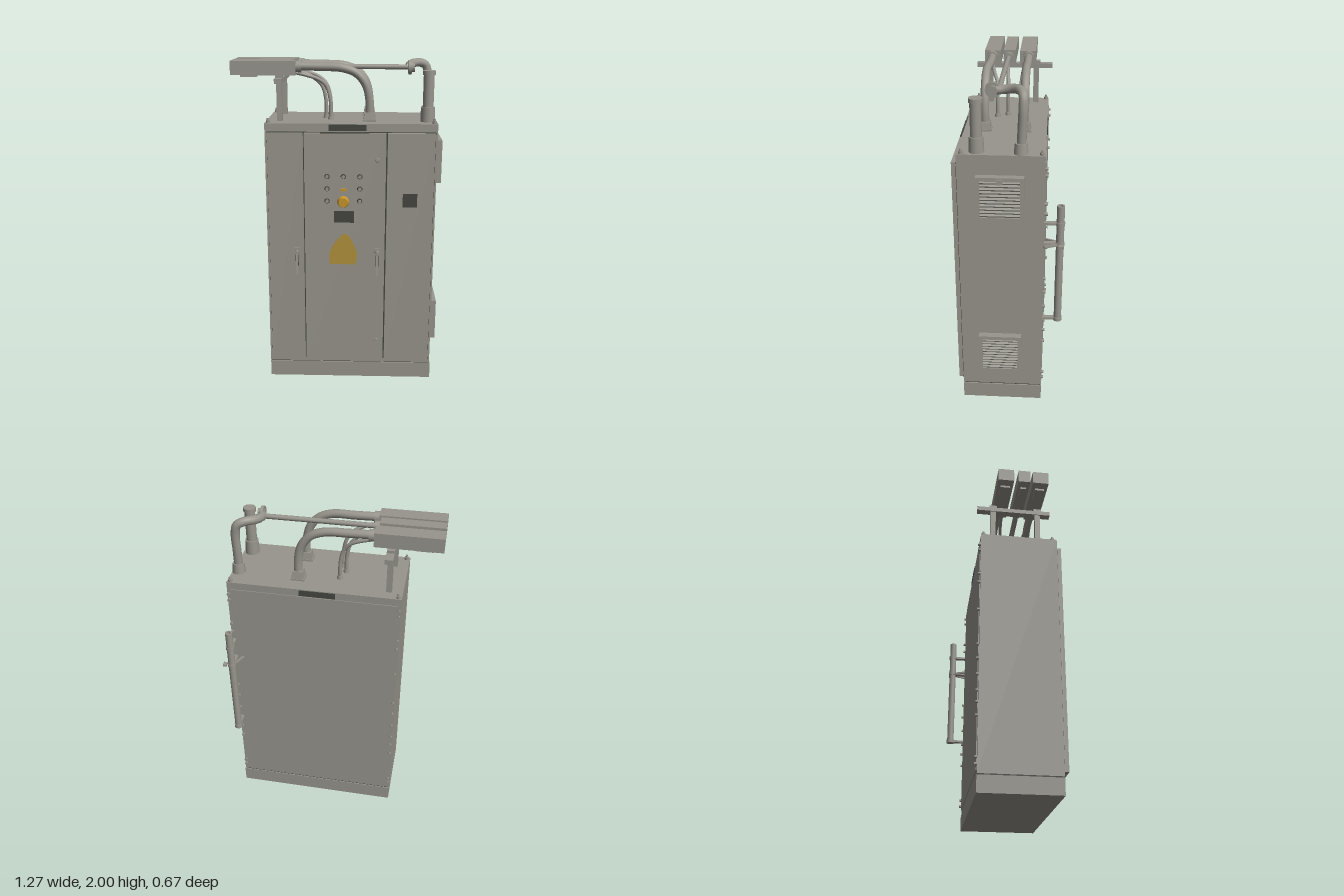
import * as THREE from 'three';

const mat = (name, color) => {
  const m = new THREE.MeshStandardMaterial({ color });
  m.name = name;
  return m;
};

export function createModel() {
  const root = new THREE.Group();
  root.name = 'controlCabinet';
  const grey = mat('cabinetGrey', 0x98958d);
  const dark = mat('labelDark', 0x454741);
  const yellow = mat('buttonYellow', 0xc6962c);
  const sign = mat('signYellow', 0xb3923c);

  const add = (name, geo, m, parent = root) => {
    const mesh = new THREE.Mesh(geo, m);
    mesh.name = name;
    parent.add(mesh);
    return mesh;
  };
  // Box given by its minimum and maximum on each axis
  const box = (name, x0, x1, y0, y1, z0, z1, m = grey, parent = root) => {
    const b = add(name, new THREE.BoxGeometry(x1 - x0, y1 - y0, z1 - z0), m, parent);
    b.position.set((x0 + x1) / 2, (y0 + y1) / 2, (z0 + z1) / 2);
    return b;
  };
  // Cylinder centred on a point, along a chosen axis
  const rod = (name, axis, x, y, z, r0, r1, len, m = grey, sides = 16, parent = root) => {
    const c = add(name, new THREE.CylinderGeometry(r1, r0, len, sides), m, parent);
    if (axis === 'x') c.rotation.z = -Math.PI / 2;
    if (axis === 'z') c.rotation.x = Math.PI / 2;
    c.position.set(x, y, z);
    return c;
  };
  const pipe = (name, pts, r) => {
    const curve = new THREE.CatmullRomCurve3(pts.map(p => new THREE.Vector3(...p)), false, 'centripetal');
    return add(name, new THREE.TubeGeometry(curve, 40, r, 12), grey);
  };

  // Plinth, seam and body
  box('plinth', -0.43, 0.595, 0, 0.1, -0.225, 0.26);
  box('plinthSeam', -0.425, 0.587, 0.1, 0.107, -0.219, 0.253, dark);
  box('body', -0.43, 0.59, 0.107, 1.645, -0.222, 0.26);
  box('backPanel', -0.41, 0.57, 0.13, 1.6, -0.227, -0.222);

  // Doors, over a thin dark sheet that shows as the gaps between them
  box('doorGap', -0.417, 0.579, 0.132, 1.597, 0.26, 0.264, dark);
  [[-0.413, -0.203], [-0.196, 0.289], [0.297, 0.575]].forEach(([a, b], i) =>
    box('door' + (i + 1), a, b, 0.136, 1.593, 0.264, 0.289));

  // Dark name plates
  box('namePlateFront', -0.05, 0.17, 1.605, 1.64, 0.26, 0.268, dark);
  box('namePlateTop', -0.1, 0.19, 1.593, 1.597, 0.262, 0.288, dark);
  box('namePlateBack', -0.05, 0.16, 1.605, 1.64, -0.227, -0.222, dark);
  box('panelLabel', -0.02, 0.103, 1.05, 1.122, 0.289, 0.292, dark);
  box('sideDoorLabel', 0.392, 0.478, 1.15, 1.232, 0.289, 0.292, dark);

  // Warning sign with rounded corners
  const tri = new THREE.Shape();
  tri.moveTo(-0.07, 0.783);
  tri.lineTo(0.1, 0.783);
  tri.quadraticCurveTo(0.126, 0.785, 0.12, 0.86);
  tri.quadraticCurveTo(0.095, 0.94, 0.065, 0.972);
  tri.quadraticCurveTo(0.042, 0.99, 0.018, 0.96);
  tri.quadraticCurveTo(-0.02, 0.92, -0.045, 0.865);
  tri.quadraticCurveTo(-0.052, 0.79, -0.04, 0.783);
  const warn = add('warningSign', new THREE.ExtrudeGeometry(tri, { depth: 0.003, bevelEnabled: false }), sign);
  warn.position.z = 0.289;

  // Push buttons in a grid, with the emergency stop below
  for (const y of [1.335, 1.26, 1.185]) {
    for (const x of [-0.06, 0.037, 0.135]) {
      if (x === 0.037 && y < 1.3) continue;
      rod('buttonCollar', 'z', x, y, 0.293, 0.016, 0.014, 0.008, dark);
      rod('button', 'z', x, y, 0.298, 0.011, 0.01, 0.012);
    }
  }
  box('indicator', 0.02, 0.055, 1.245, 1.262, 0.289, 0.297, yellow);
  rod('stopStem', 'z', 0.037, 1.185, 0.3, 0.022, 0.022, 0.022, yellow);
  rod('stopCap', 'z', 0.037, 1.185, 0.321, 0.036, 0.028, 0.024, yellow, 20);
  for (const [x, y] of [[0.238, 1.435], [0.245, 0.275]]) rod('doorLock', 'z', x, y, 0.291, 0.013, 0.01, 0.006);

  // Door handles
  for (const x of [-0.245, 0.245]) {
    const h = new THREE.Group();
    h.name = 'doorHandle';
    root.add(h);
    box('handlePlate', x - 0.015, x + 0.015, 0.765, 0.89, 0.289, 0.3, grey, h);
    box('handleInset', x - 0.009, x + 0.009, 0.775, 0.845, 0.3, 0.303, dark, h);
    rod('handlePivot', 'z', x, 0.865, 0.308, 0.011, 0.009, 0.02, grey, 12, h);
    const lever = box('handleLever', x - 0.006, x + 0.006, 0.72, 0.87, 0.309, 0.32, grey, h);
    lever.rotation.x = -0.09;
  }

  // Louvred vents on the left side
  for (const [y0, y1, z0] of [[1.268, 1.53, -0.11], [0.228, 0.488, -0.1]]) {
    const v = new THREE.Group();
    v.name = 'sideVent';
    root.add(v);
    const z1 = 0.155, e = 0.022;
    box('ventBack', 0.59, 0.61, y0 + e, y1 - e, z0 + e, z1 - e, dark, v);
    box('ventFrameBottom', 0.59, 0.63, y0, y0 + e, z0, z1, grey, v);
    box('ventFrameTop', 0.59, 0.63, y1 - e, y1, z0, z1, grey, v);
    box('ventFrameBack', 0.59, 0.63, y0 + e, y1 - e, z0, z0 + e, grey, v);
    box('ventFrameFront', 0.59, 0.63, y0 + e, y1 - e, z1 - e, z1, grey, v);
    const n = 11, step = (y1 - y0 - 2 * e) / n;
    for (let i = 0; i < n; i++) {
      const y = y0 + e + step * (i + 0.5);
      const s = box('ventSlat', 0.606, 0.626, y - 0.005, y + 0.005, z0 + e, z1 - e, grey, v);
      s.rotation.z = -0.5;
    }
  }
  box('ventLatch', 0.615, 0.634, 1.49, 1.52, 0.005, 0.04);

  // Lifting bolts on the roof corners
  for (const x of [-0.41, 0.57]) for (const z of [-0.205, 0.235]) {
    rod('roofBolt', 'y', x, 1.652, z, 0.013, 0.013, 0.014);
    rod('roofBoltHead', 'y', x, 1.665, z, 0.008, 0.007, 0.016);
  }
  // Small fixings along the rear edges
  for (const x of [-0.42, 0.58])
    for (const y of [0.16, 0.2, 0.44, 0.52, 0.59, 0.69, 0.79, 0.88, 1.11, 1.3, 1.36, 1.53, 1.57])
      rod('rearBolt', 'z', x, y, -0.229, 0.01, 0.008, 0.018, grey, 8);

  // Three overhead trunking boxes on a cross rail with two posts
  for (const [z0, z1, x1] of [[-0.14, -0.042, -0.25], [-0.014, 0.06, -0.265], [0.077, 0.175, -0.25]]) {
    box('trunking', -0.635, x1, 1.915, 1.998, z0, z1);
    box('trunkingFoot', -0.58, -0.485, 1.902, 1.915, z0 + 0.02, z1 - 0.02);
  }
  box('crossRail', -0.37, -0.325, 1.872, 1.9, -0.242, 0.232);
  for (const z of [-0.14, 0.15]) {
    box('railPost', -0.365, -0.333, 1.645, 1.872, z - 0.017, z + 0.017);
    box('railPad', -0.37, -0.328, 1.9, 1.915, z - 0.025, z + 0.025);
  }

  // Outer conduits bending down to square roof flanges
  for (const [za, zb] of [[-0.095, -0.092], [0.128, 0.138]]) {
    pipe('mainConduit', [[-0.25, 1.965, za], [-0.1, 1.962, za], [0.03, 1.955, zb], [0.11, 1.925, zb],
      [0.165, 1.86, zb], [0.188, 1.77, zb], [0.19, 1.645, zb]], 0.025);
    rod('conduitCollar', 'x', -0.235, 1.963, za, 0.034, 0.034, 0.035);
    box('conduitFlange', 0.148, 0.228, 1.645, 1.655, zb - 0.04, zb + 0.04);
    const base = rod('conduitSocket', 'y', 0.19, 1.675, zb, 0.052, 0.042, 0.045, grey, 4);
    base.geometry.rotateY(Math.PI / 4);
    base.geometry = base.geometry.toNonIndexed();
    base.geometry.computeVertexNormals();
  }

  // Thin cables from under the trunking
  for (const [za, zb, x] of [[-0.07, -0.058, -0.05], [0.03, 0.02, -0.075], [0.12, 0.082, -0.045]]) {
    pipe('thinCable', [[-0.27, 1.93, za], [-0.2, 1.915, za], [x - 0.07, 1.885, (za + zb) / 2],
      [x - 0.025, 1.84, zb], [x - 0.003, 1.76, zb], [x, 1.645, zb]], 0.011);
    rod('cableGland', 'y', x, 1.655, zb, 0.018, 0.015, 0.02, grey, 8);
  }

  // Middle conduit running across to an elbow at the far corner
  rod('middleCollar', 'x', -0.25, 1.957, 0.03, 0.03, 0.03, 0.035);
  pipe('middleConduit', [[-0.26, 1.958, 0.028], [0.1, 1.956, 0.034], [0.43, 1.955, 0.036]], 0.015);
  rod('unionDisc', 'x', 0.428, 1.955, 0.07, 0.043, 0.043, 0.018, grey, 20);
  rod('unionNut', 'x', 0.436, 1.955, 0.07, 0.028, 0.028, 0.04, grey, 8);
  pipe('cornerConduit', [[0.428, 1.955, 0.05], [0.428, 1.96, 0.0], [0.45, 1.97, -0.05],
    [0.495, 1.973, -0.085], [0.535, 1.955, -0.1], [0.55, 1.9, -0.1], [0.55, 1.78, -0.095], [0.55, 1.645, -0.09]], 0.026);
  rod('cornerSocket', 'y', 0.55, 1.675, -0.09, 0.04, 0.034, 0.06);

  // Standing roof cylinder
  rod('stackBase', 'y', 0.536, 1.688, 0.153, 0.043, 0.04, 0.086, grey, 24);
  rod('stackTube', 'y', 0.536, 1.83, 0.153, 0.032, 0.032, 0.2, grey, 24);
  rod('stackCap', 'y', 0.536, 1.932, 0.153, 0.038, 0.038, 0.024, grey, 24);

  // Open tube on brackets behind the left rear corner
  const tubeX = 0.575, tubeZ = -0.313;
  const ring = [[0.013, 0.6], [0.022, 0.6], [0.022, 1.35], [0.013, 1.35], [0.013, 0.6]];
  // separate faces per wall keep the rims crisp
  for (let i = 0; i < 4; i++) {
    const wall = add('rearTube', new THREE.LatheGeometry(ring.slice(i, i + 2).map(p => new THREE.Vector2(...p)), 18), grey);
    wall.position.set(tubeX, 0, tubeZ);
  }
  for (const y of [0.607, 1.112, 1.24]) {
    box('tubeBracket', tubeX - 0.014, tubeX + 0.014, y - 0.007, y + 0.007, -0.3, -0.222);
    rod('tubeClamp', 'y', tubeX, y, tubeZ, 0.026, 0.026, 0.022);
  }
  for (const s of [-1, 1]) {
    const arm = box('bracketArm', -0.005, 0.005, -0.007, 0.007, -0.055, 0.055);
    arm.position.set(tubeX + s * 0.027, 1.112, -0.275);
    arm.rotation.y = s * 0.4;
  }
  box('bracketEar', tubeX + 0.03, tubeX + 0.052, 1.105, 1.119, -0.335, -0.305);
  return root;
}
